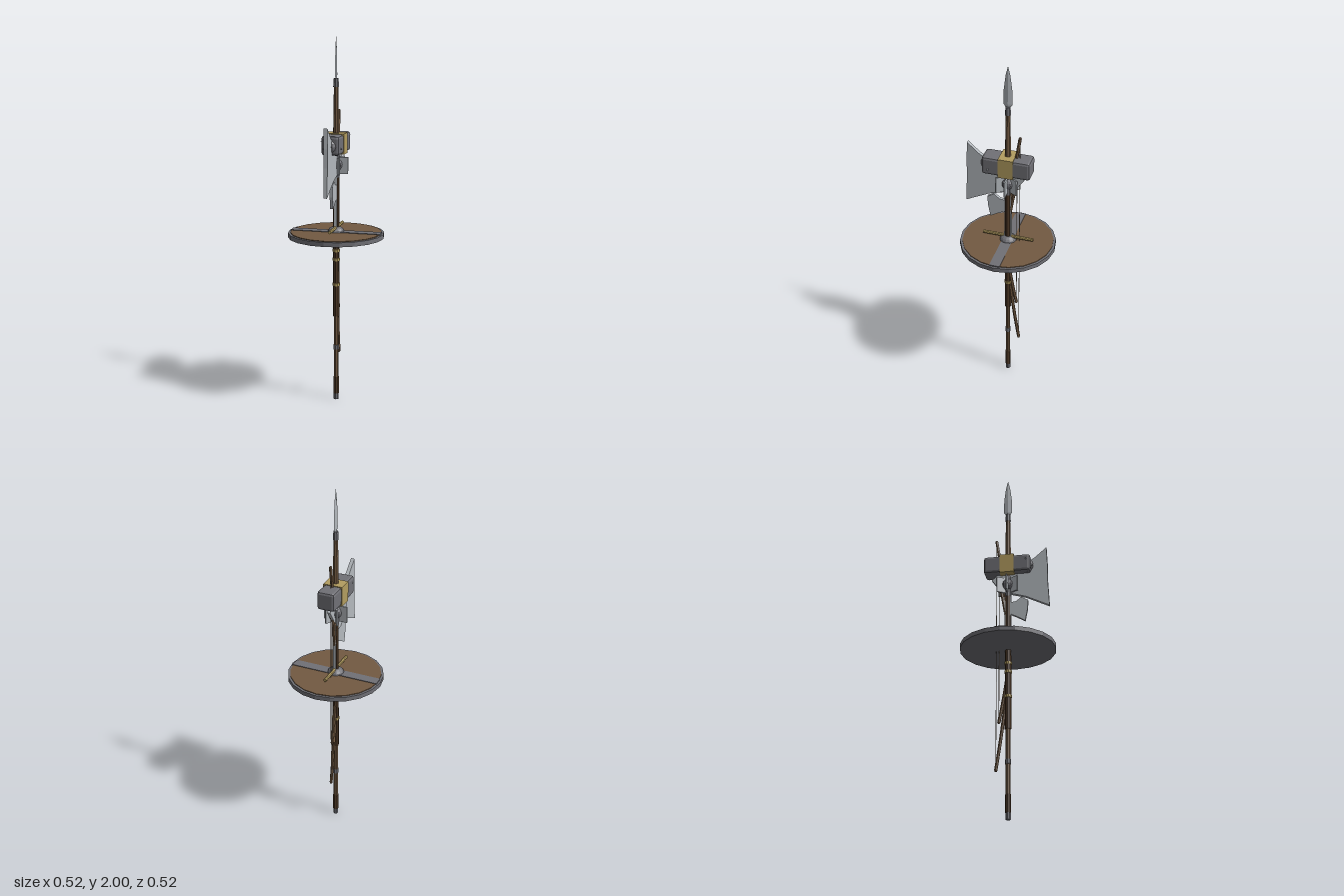
import * as THREE from 'three';
import { RoundedBoxGeometry } from 'three/addons/geometries/RoundedBoxGeometry.js';

const mat = (color) => new THREE.MeshStandardMaterial({ color, flatShading: true, side: THREE.DoubleSide });

export function createModel() {
  const root = new THREE.Group();
  const wood = mat(0x735a42), darkWood = mat(0x4d3826), iron = mat(0x707076);
  const steel = mat(0xb4b9be), gold = mat(0xb39d60), cord = mat(0x8f7d6a);

  const add = (name, geometry, material, x = 0, y = 0, z = 0, parent = root) => {
    const mesh = new THREE.Mesh(geometry, material);
    mesh.name = name;
    mesh.position.set(x, y, z);
    parent.add(mesh);
    return mesh;
  };
  const group = (name) => {
    const g = new THREE.Group();
    g.name = name;
    root.add(g);
    return g;
  };
  // Upright rod between two heights
  const rod = (name, y0, y1, r0, r1, material, parent, sides = 8) =>
    add(name, new THREE.CylinderGeometry(r1, r0, y1 - y0, sides), material, 0, (y0 + y1) / 2, 0, parent);
  // Flat plate drawn in the z-y plane, thick along x
  const plate = (name, points, thick, material, parent) => {
    const shape = new THREE.Shape(points.map(([z, y]) => new THREE.Vector2(z, y)));
    const geo = new THREE.ExtrudeGeometry(shape, { depth: thick, bevelEnabled: false });
    geo.translate(0, 0, -thick / 2).rotateY(-Math.PI / 2);
    return add(name, geo, material, 0, 0, 0, parent);
  };

  // Spear: full-length shaft, grip, collar and a leaf blade
  const spear = group('spear');
  rod('spearShaft', 0.02, 1.74, 0.013, 0.012, wood, spear);
  rod('buttCap', 0, 0.035, 0.014, 0.014, iron, spear);
  rod('buttWrap', 0.035, 0.13, 0.016, 0.016, darkWood, spear);
  rod('shaftRing', 0.29, 0.315, 0.016, 0.016, iron, spear);
  rod('spearSocket', 1.73, 1.775, 0.016, 0.013, iron, spear);
  const leaf = new THREE.LatheGeometry(
    [[0.008, 1.765], [0.024, 1.79], [0.022, 1.87], [0.012, 1.95], [0, 2]].map(([r, y]) => new THREE.Vector2(r, y)), 4);
  add('spearBlade', leaf.scale(0.2, 1, 1), steel, 0, 0, 0, spear);

  // Shield lying flat around the shafts
  const shield = group('shield');
  add('shieldRim', new THREE.CylinderGeometry(0.26, 0.26, 0.024, 20), iron, 0, 0.938, 0, shield);
  add('shieldBoard', new THREE.CylinderGeometry(0.247, 0.247, 0.008, 20), wood, 0, 0.95, 0, shield);
  add('shieldStrap', new THREE.BoxGeometry(0.496, 0.006, 0.056), iron, 0, 0.954, 0, shield);
  const boss = new THREE.SphereGeometry(0.045, 12, 5, 0, Math.PI * 2, 0, Math.PI / 2).scale(1, 0.65, 1);
  add('shieldBoss', boss, iron, 0, 0.955, 0, shield);

  // War hammer
  const hammer = group('hammer');
  rod('hammerHandle', 0.48, 1.4, 0.018, 0.016, darkWood, hammer);
  add('hammerHead', new RoundedBoxGeometry(0.098, 0.102, 0.26, 1, 0.014), iron, 0, 1.434, 0, hammer);
  add('hammerBand', new THREE.BoxGeometry(0.106, 0.11, 0.08), gold, 0, 1.434, 0, hammer);

  // Battle axe: broad blade, back spike, tapering haft
  const axe = group('battleAxe');
  rod('axeHaft', 0.5, 1.72, 0.015, 0.012, wood, axe);
  rod('axeHaftTop', 1.38, 1.72, 0.018, 0.0125, wood, axe);
  plate('axeBlade', [[0, 1.4], [0.11, 1.45], [0.155, 1.48], [0.217, 1.535], [0.205, 1.43],
    [0.207, 1.33], [0.23, 1.175], [0.1, 1.24], [0, 1.27]].map(([z, y]) => [z === 0.205 || z === 0.207 ? 0.222 : z, y]),
  0.02, steel, axe);
  plate('axeSpike', [[0, 1.39], [-0.05, 1.39], [-0.09, 1.355], [-0.03, 1.27], [0, 1.27]], 0.018, steel, axe);

  // Hand axe
  const handAxe = group('handAxe');
  plate('handAxeBlade', [[0, 1.21], [0.045, 1.215], [0.075, 1.24], [0.112, 1.217], [0.108, 1.16],
    [0.095, 1.095], [0.045, 1.125], [0.014, 1.14], [0, 1.14]], 0.016, steel, handAxe);
  rod('handAxeHandle', 0.66, 1.24, 0.014, 0.014, wood, handAxe);

  // Flanged mace
  const mace = group('mace');
  add('maceCore', new THREE.SphereGeometry(0.036, 10, 8), iron, 0, 1.32, 0, mace);
  rod('maceSocket', 1.25, 1.37, 0.018, 0.018, iron, mace);
  for (let i = 0; i < 6; i++) {
    const a = i * Math.PI / 3;
    const flange = add('maceFlange', new THREE.BoxGeometry(0.045, 0.09, 0.008), steel,
      0.043 * Math.cos(a), 1.315, -0.043 * Math.sin(a), mace);
    flange.rotation.y = a;
  }

  // Spiked ball
  const ball = group('spikedBall');
  ball.position.set(0, 1.43, 0.1);
  add('ball', new THREE.SphereGeometry(0.045, 10, 8), iron, 0, 0, 0, ball);
  const up = new THREE.Vector3(0, 1, 0);
  for (const d of [[-0.6, -0.2, 0.75], [0.95, -0.25, -0.1], [0.5, -0.85, 0.1], [-0.55, -0.8, 0.2],
    [-0.9, 0.4, 0.1], [0.5, 0.85, -0.1], [-0.5, 0.85, -0.1]]) {
    const dir = new THREE.Vector3(...d).normalize();
    const spike = add('ballSpike', new THREE.ConeGeometry(0.009, 0.028, 5), steel,
      ...dir.clone().multiplyScalar(0.05).toArray(), ball);
    spike.quaternion.setFromUnitVectors(up, dir);
  }

  // Sword: narrow blade, long cross guard, grip with gold rings
  const sword = group('sword');
  plate('swordBlade', [[-0.019, 0.97], [0.019, 0.97], [0.017, 1.45], [0, 1.53], [-0.017, 1.45]], 0.016, steel, sword);
  const guard = add('swordGuard', new THREE.CylinderGeometry(0.009, 0.009, 0.28, 8), gold, 0, 0.977, 0, sword);
  guard.rotation.x = Math.PI / 2;
  rod('swordGrip', 0.8, 0.97, 0.016, 0.016, darkWood, sword);
  for (const y of [0.66, 0.8, 0.85]) rod('gripRing', y - 0.007, y + 0.007, 0.0205, 0.0205, gold, sword, 10);

  // Two bows with strings, sharing one centre height
  for (const [name, half, back] of [['longBow', 0.67, 0.064], ['shortBow', 0.41, 0.049]]) {
    const bow = group(name);
    const path = new THREE.CatmullRomCurve3([-1, -0.75, -0.35, 0, 0.35, 0.75, 1].map((t) =>
      new THREE.Vector3(0, 0.93 + t * half, 0.008 - (back + 0.008) * Math.pow(Math.abs(t), 1.5))));
    add('bowLimbs', new THREE.TubeGeometry(path, 24, 0.009, 6), wood, 0, 0, 0, bow);
    for (const s of [-1, 1]) add('bowTip', new THREE.SphereGeometry(0.009, 6, 4), wood, 0, 0.93 + s * half, -back, bow);
    add('bowString', new THREE.CylinderGeometry(0.0018, 0.0018, half * 2, 5), cord, 0, 0.93, -back, bow);
  }
  return root;
}
